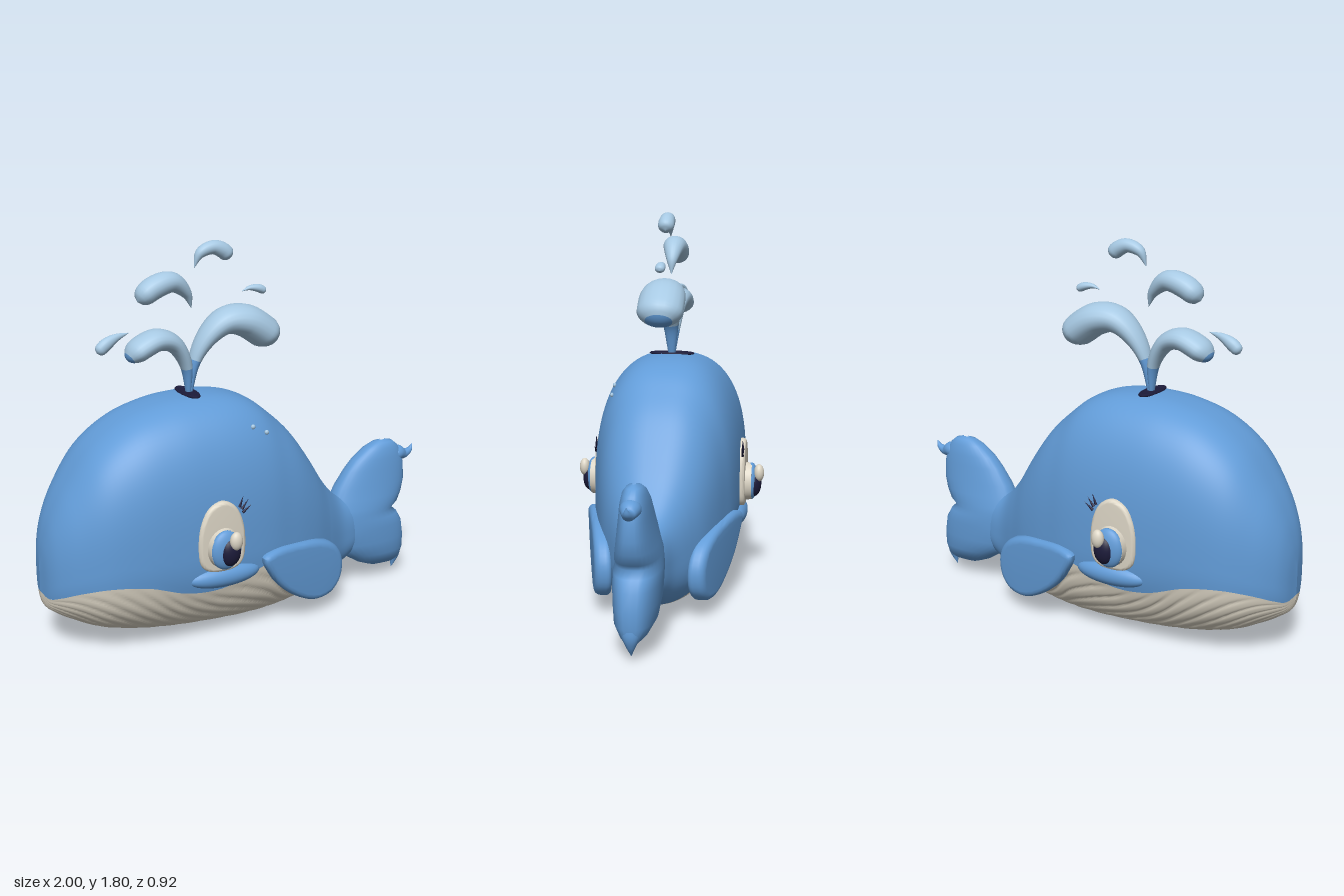
import * as THREE from 'three';
import { toCreasedNormals } from 'three/addons/utils/BufferGeometryUtils.js';

const paint = (name, color) => {
  const m = new THREE.MeshStandardMaterial({ color });
  m.name = name;
  return m;
};
const V = (x, y, z = 0) => new THREE.Vector3(x, y, z);

// Smooth surface through a grid of points f(u, v), turned to face outwards
function loft(nu, nv, f, wrap = false) {
  const pos = [], idx = [], row = wrap ? nv : nv + 1;
  for (let i = 0; i <= nu; i++)
    for (let j = 0; j < row; j++) pos.push(...f(i / nu, j / nv));
  for (let i = 0; i < nu; i++)
    for (let j = 0; j < nv; j++) {
      const k = (j + 1) % row, a = i * row + j, b = i * row + k;
      idx.push(a, b, a + row, b, b + row, a + row);
    }
  const geo = new THREE.BufferGeometry();
  geo.setAttribute('position', new THREE.Float32BufferAttribute(pos, 3));
  geo.computeBoundingBox();
  const mid = geo.boundingBox.getCenter(V(0, 0)), p = geo.attributes.position;
  let volume = 0;
  for (let i = 0; i < idx.length; i += 3) {
    const [a, b, c] = [0, 1, 2].map(k => V(0, 0).fromBufferAttribute(p, idx[i + k]).sub(mid));
    volume += a.dot(b.cross(c));
  }
  geo.setIndex(volume < 0 ? idx.reverse() : idx);
  geo.computeVertexNormals();
  return geo;
}

// Mirrored copy across z = 0 with the corner order corrected
function mirror(geo) {
  const g = geo.clone().scale(1, 1, -1);
  const src = g.index ? Array.from(g.index.array) : [...Array(g.attributes.position.count).keys()];
  g.setIndex(src.reverse());
  g.clearGroups();
  return g;
}

function blob(x, y, z, rx, ry, rz) {
  return new THREE.SphereGeometry(1, 32, 20).scale(rx, ry, rz).translate(x, y, z);
}

// Rounded slab from a closed smooth outline
function slab(points, z, depth, bevel) {
  const curve = new THREE.CatmullRomCurve3(points.map(p => V(...p)), true);
  const shape = new THREE.Shape(curve.getPoints(48).slice(0, -1).map(p => new THREE.Vector2(p.x, p.y)));
  return new THREE.ExtrudeGeometry(shape, {
    depth, bevelThickness: bevel, bevelSize: bevel, bevelOffset: -bevel, bevelSegments: 4,
  }).translate(0, 0, z);
}

// Body stations: x, top, bottom, half width, belly line
const stations = [
  [-1, .40, .26, 0, .28], [-.985, .52, .21, .09, .27], [-.95, .64, .18, .16, .295],
  [-.88, .775, .14, .23, .33], [-.76, .935, .085, .30, .355], [-.6, 1.045, .045, .338, .34],
  [-.42, 1.1, .02, .352, .28], [-.25, 1.115, .007, .352, .27], [-.1, 1.105, 0, .345, .32],
  [.02, 1.065, 0, .33, .345], [.12, .99, .005, .305, .27], [.22, .895, .018, .275, .19],
  [.32, .76, .038, .235, .09], [.42, .61, .07, .18, .07], [.52, .5, .115, .125, .115],
  [.62, .45, .17, .09, .17], [.72, .4, .25, .04, .25],
];
const heights = new THREE.CatmullRomCurve3(stations.map(s => V(s[0], s[1], s[2])), false, 'catmullrom');
const widths = new THREE.CatmullRomCurve3(stations.map(s => V(s[0], s[3], s[4])), false, 'catmullrom');
const UP = .75, LOW = .85;

function section(u) {
  const h = heights.getPoint(u), w = widths.getPoint(u);
  const mid = h.z + .42 * (h.y - h.z), low = mid - h.z;
  const drop = Math.min(1, Math.max(0, (mid - w.z) / low));
  return { x: h.x, mid, high: h.y - mid, low, w: Math.max(0, w.y), lip: -Math.asin(drop ** (1 / LOW)) };
}
function skin(s, a, scale = 1) {
  const sin = Math.sin(a), cos = Math.cos(a), e = sin > 0 ? UP : LOW;
  const y = s.mid + scale * Math.sign(sin) * Math.abs(sin) ** e * (sin > 0 ? s.high : s.low);
  return [s.x, y, scale * Math.sign(cos) * Math.abs(cos) ** e * s.w];
}

function bodyGeometry() {
  return loft(96, 56, (u, v) => {
    const s = section(u);
    return skin(s, s.lip + v * (Math.PI - 2 * s.lip));
  });
}
// Belly with slanting grooves that meet along the keel
function bellyGeometry() {
  return loft(150, 96, (t, v) => {
    const s = section(t * 13 / 16), side = Math.abs(v * 2 - 1);
    const depth = 1 - side;
    const groove = Math.abs(Math.sin(Math.PI * 7 * (depth - s.x / .8)));
    const inset = Math.min(1, depth * 8) * .022 * (1 - groove) ** 2;
    const a = s.lip + (-Math.PI / 2 - s.lip) * depth;
    const p = skin(s, a, 1 - inset);
    return v < .5 ? p : [p[0], p[1], -p[2]];
  });
}

// Tail rows: y, front x, back x, half thickness
const tailRows = [
  [.06, .78, .9, .008], [.075, .74, .925, .03], [.1, .68, .935, .06], [.15, .6, .943, .09],
  [.22, .5, .945, .1], [.3, .5, .93, .105], [.35, .5, .9, .105], [.38, .5, .865, .1],
  [.41, .5, .9, .1], [.46, .52, .925, .09], [.52, .545, .94, .08], [.6, .6, .937, .068],
  [.65, .645, .925, .062], [.7, .71, .9, .05], [.725, .76, .87, .033], [.735, .8, .83, .008],
];
function tailGeometry() {
  return loft(tailRows.length - 1, 32, (u, v) => {
    const [y, x0, x1, h] = tailRows[Math.round(u * (tailRows.length - 1))];
    const c = Math.cos(v * 2 * Math.PI), s = Math.sin(v * 2 * Math.PI);
    return [(x0 + x1) / 2 + c * (x1 - x0) / 2, y, Math.sign(s) * Math.abs(s) ** .75 * h];
  }, true);
}

// Curled tapering drop along points of x, y, radius; from/to pick a stretch of it
function curl(points, wide, from = 0, to = 1) {
  const path = new THREE.CatmullRomCurve3(points.map(p => V(...p)), false, 'catmullrom');
  return loft(32, 20, (t, v) => {
    const u = from + t * (to - from);
    const p = path.getPoint(u), d = path.getTangent(u).setZ(0).normalize();
    const end = u > .85 ? Math.sqrt(Math.max(0, 1 - ((u - .85) / .15) ** 2)) : 1;
    const r = Math.max(0, p.z) * end, a = v * 2 * Math.PI;
    return [p.x - d.y * r * Math.cos(a), p.y + d.x * r * Math.cos(a), wide * r * Math.sin(a)];
  }, true);
}

export function createModel() {
  const whale = new THREE.Group();
  whale.name = 'whale';
  const blue = paint('skin blue', 0x629cd8), cream = paint('cream', 0xddd6c6);
  const water = paint('water blue', 0xa6c8e2), dark = paint('dark navy', 0x1c1b3a);
  const add = (name, geo, mat) => {
    const m = new THREE.Mesh(geo, mat);
    m.name = name;
    whale.add(m);
  };
  const pair = (name, geo, mat) => {
    add(name + 'Left', geo, mat);
    add(name + 'Right', mirror(geo), mat);
  };

  add('body', bodyGeometry(), blue);
  add('belly', bellyGeometry(), cream);

  // Tail with pointed fluke tips
  add('tail', tailGeometry(), blue);
  add('upperFlukeTip', curl([[1, .685, .001], [.985, .655, .014], [.95, .64, .025], [.91, .65, .04], [.87, .65, .04]], 1.1), blue);
  add('lowerFlukeTip', curl([[.9, .025, .001], [.91, .07, .018], [.91, .11, .032], [.9, .16, .04]], 1.2), blue);

  // Flippers lean inwards towards the tail
  const flipper = slab([[-.05, .385], [.02, .41], [.15, .405], [.3, .38], [.4, .33], [.45, .25],
    [.44, .15], [.38, .09], [.29, .08], [.2, .11], [.08, .19], [0, .28]], 0, .025, .028);
  const fp = flipper.attributes.position;
  for (let i = 0; i < fp.count; i++) fp.setZ(i, fp.getZ(i) + .315 - .27 * fp.getX(i));
  pair('flipper', toCreasedNormals(flipper, .8), blue);

  // Eyes
  pair('cheek', blob(-.24, .335, .325, .18, .055, .055), blue);
  const eyeWhite = slab([[-.26, .7], [-.325, .672], [-.365, .6], [-.378, .5], [-.365, .41], [-.32, .375],
    [-.2, .375], [-.16, .41], [-.148, .5], [-.162, .6], [-.2, .672]], .3, .055, .015);
  pair('eyeWhite', toCreasedNormals(eyeWhite, .8), cream);
  const eyeball = new THREE.CylinderGeometry(.078, .085, .06, 32).rotateX(Math.PI / 2)
    .scale(1, 1.15, 1).translate(-.26, .485, .37);
  pair('eyeball', eyeball, cream);
  pair('iris', blob(-.263, .485, .395, .074, .092, .035), blue);
  pair('pupil', blob(-.25, .478, .41, .05, .066, .036), dark);
  pair('eyeGlint', blob(-.232, .535, .435, .03, .043, .025), cream);
  [[-.175, .668, -.35], [-.162, .655, -.65], [-.155, .638, -.95]].forEach(([x, y, turn], i) => {
    const lash = new THREE.ConeGeometry(.007, .055, 8).translate(0, .02, 0).rotateZ(turn).translate(x, y, .36);
    pair('eyelash' + (i + 1), lash, dark);
  });

  // Blowhole
  add('blowhole', new THREE.CylinderGeometry(1, 1, .012, 32).scale(.035, 1, .095).translate(-.26, 1.112, 0), dark);
  add('blowholeRim', new THREE.TorusGeometry(.03, .007, 8, 32).rotateX(Math.PI / 2)
    .scale(1.1, 1, 3).translate(-.26, 1.114, 0), dark);

  // Water jets: blue stem and blunt end, paler middle
  const jets = [
    ['backJet', 1.38, [[-.25, 1.1, .01], [-.225, 1.25, .027], [-.16, 1.36, .045], [-.07, 1.425, .062], [.03, 1.42, .076], [.12, 1.365, .078], [.18, 1.31, .07]]],
    ['frontJet', 1.5, [[-.255, 1.1, .01], [-.265, 1.24, .027], [-.32, 1.34, .04], [-.4, 1.372, .05], [-.48, 1.345, .052], [-.55, 1.295, .045]]],
  ];
  for (const [name, wide, pts] of jets) {
    add(name + 'Stem', curl(pts, wide, 0, .18), blue);
    add(name, curl(pts, wide, .18, .965), water);
    add(name + 'End', curl(pts, wide, .965, 1), blue);
  }

  // Loose drops
  const drops = [
    [1.15, [[-.235, 1.5, .001], [-.26, 1.57, .025], [-.33, 1.625, .046], [-.42, 1.605, .052], [-.495, 1.55, .045]]],
    [1.05, [[-.22, 1.68, .001], [-.19, 1.742, .023], [-.13, 1.765, .031], [-.08, 1.75, .036], [-.04, 1.715, .035]]],
    [.9, [[-.54, 1.418, .001], [-.6, 1.402, .018], [-.65, 1.375, .029], [-.69, 1.34, .025]]],
    [1.2, [[.02, 1.555, .001], [.06, 1.567, .011], [.105, 1.562, .019], [.14, 1.545, .018]]],
  ];
  drops.forEach(([wide, pts], i) => add('waterDrop' + (i + 1), curl(pts, wide), water));

  // Small shine spots resting on the left of the back
  for (const [x, y, z] of [[-.05, .985, .245], [.02, .95, .245]])
    add('shineSpot', new THREE.SphereGeometry(.011, 12, 8).scale(1, 1, .8).translate(x, y, z), water);

  return whale;
}
